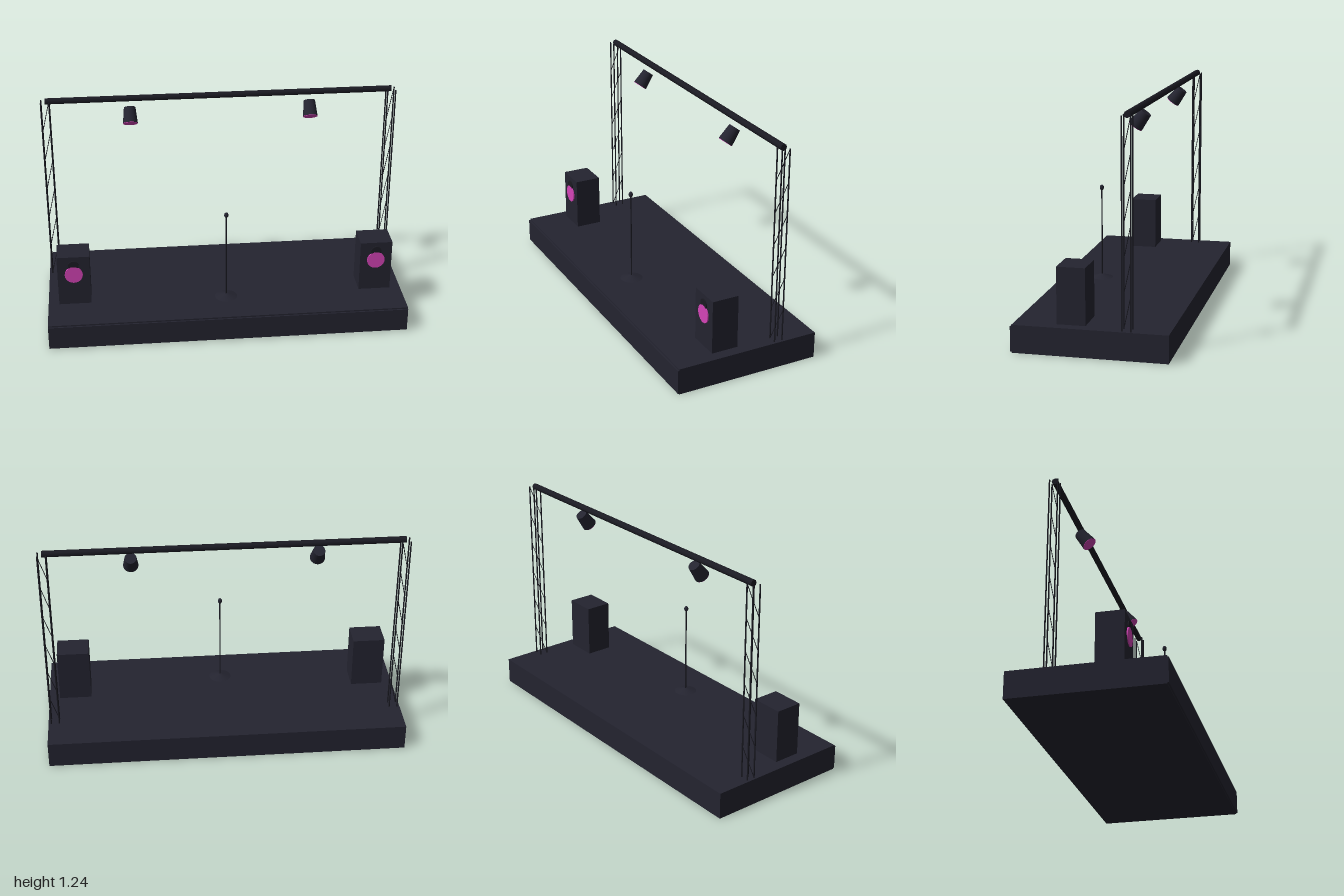
import * as THREE from 'three';

export function createModel() {
  const root = new THREE.Group();
  const mat = (name, color) => {
    const m = new THREE.MeshStandardMaterial({ color });
    m.name = name;
    return m;
  };
  const charcoal = mat('charcoal', 0x242430);
  const metal = mat('dark metal', 0x1b1b23);
  const pink = mat('pink glow', 0xd644b8);

  const add = (parent, name, geometry, material, x = 0, y = 0, z = 0) => {
    const mesh = new THREE.Mesh(geometry, material);
    mesh.name = name;
    mesh.position.set(x, y, z);
    parent.add(mesh);
    return mesh;
  };
  const group = (name, x, y, z) => {
    const g = new THREE.Group();
    g.name = name;
    g.position.set(x, y, z);
    root.add(g);
    return g;
  };
  // Thin rod between two points
  const rod = (parent, name, a, b, r) => {
    const dir = b.clone().sub(a);
    const mesh = add(parent, name, new THREE.CylinderGeometry(r, r, dir.length(), 8), metal);
    mesh.position.copy(a).add(b).multiplyScalar(0.5);
    mesh.quaternion.setFromUnitVectors(new THREE.Vector3(0, 1, 0), dir.normalize());
  };
  const V = (x, y, z) => new THREE.Vector3(x, y, z);

  // Stage platform with a front fascia
  const deck = 0.147;
  add(root, 'platform', new THREE.BoxGeometry(2, deck, 0.808), charcoal, 0, deck / 2, -0.002);
  add(root, 'frontFascia', new THREE.BoxGeometry(2, 0.133, 0.008), charcoal, 0, 0.072, 0.406);

  // Lattice towers: four poles and one rising diagonal per bay
  const h = 0.0225, top = 1.222, bays = 6, step = (top - deck) / bays;
  for (const side of [-1, 1]) {
    const tower = group(side > 0 ? 'leftTower' : 'rightTower', side * 0.962, 0, -0.188);
    for (const sx of [-1, 1]) for (const sz of [-1, 1]) {
      rod(tower, 'towerPole', V(sx * h, deck, sz * h), V(sx * h, top, sz * h), 0.004);
    }
    for (let i = 0; i < bays; i++) {
      rod(tower, 'towerBrace', V(-h, deck + i * step, h), V(h, deck + (i + 1) * step, -h), 0.002);
    }
  }

  // Overhead lighting bar
  rod(root, 'lightingBar', V(-0.962, 1.225, -0.188), V(0.962, 1.225, -0.188), 0.018);

  for (const side of [-1, 1]) {
    const prefix = side > 0 ? 'left' : 'right';

    // Tapered spotlight tilted down towards the front
    const spot = group(prefix + 'Spotlight', side * 0.5, 1.138, -0.153);
    spot.rotation.x = -0.644;
    add(spot, 'spotHousing', new THREE.CylinderGeometry(0.032, 0.041, 0.09, 20), charcoal);
    add(spot, 'spotLens', new THREE.CylinderGeometry(0.04, 0.04, 0.003, 20), pink, 0, -0.0455, 0);

    // Speaker with a pink cone and a dark tweeter behind its upper edge
    const speaker = group(prefix + 'Speaker', side * 0.85, deck, 0.107);
    add(speaker, 'speakerCabinet', new THREE.BoxGeometry(0.18, 0.299, 0.15), charcoal, 0, 0.1495, 0);
    const disc = (name, r, depth, material, y) => {
      const d = add(speaker, name, new THREE.CylinderGeometry(r, r, depth, 24), material, 0, y, 0.075 + depth / 2);
      d.rotation.x = Math.PI / 2;
    };
    disc('speakerCone', 0.05, 0.007, pink, 0.19);
    disc('speakerTweeter', 0.03, 0.006, metal, 0.245);
  }

  // Microphone on a stand
  const mic = group('microphoneStand', 0, deck, 0.182);
  add(mic, 'standBase', new THREE.CylinderGeometry(0.008, 0.063, 0.018, 24), charcoal, 0, 0.009, 0);
  rod(mic, 'standPole', V(0, 0, 0), V(0, 0.515, 0), 0.004);
  add(mic, 'microphoneHead', new THREE.SphereGeometry(0.012, 16, 12), charcoal, 0, 0.52, 0).scale.y = 1.35;

  return root;
}
